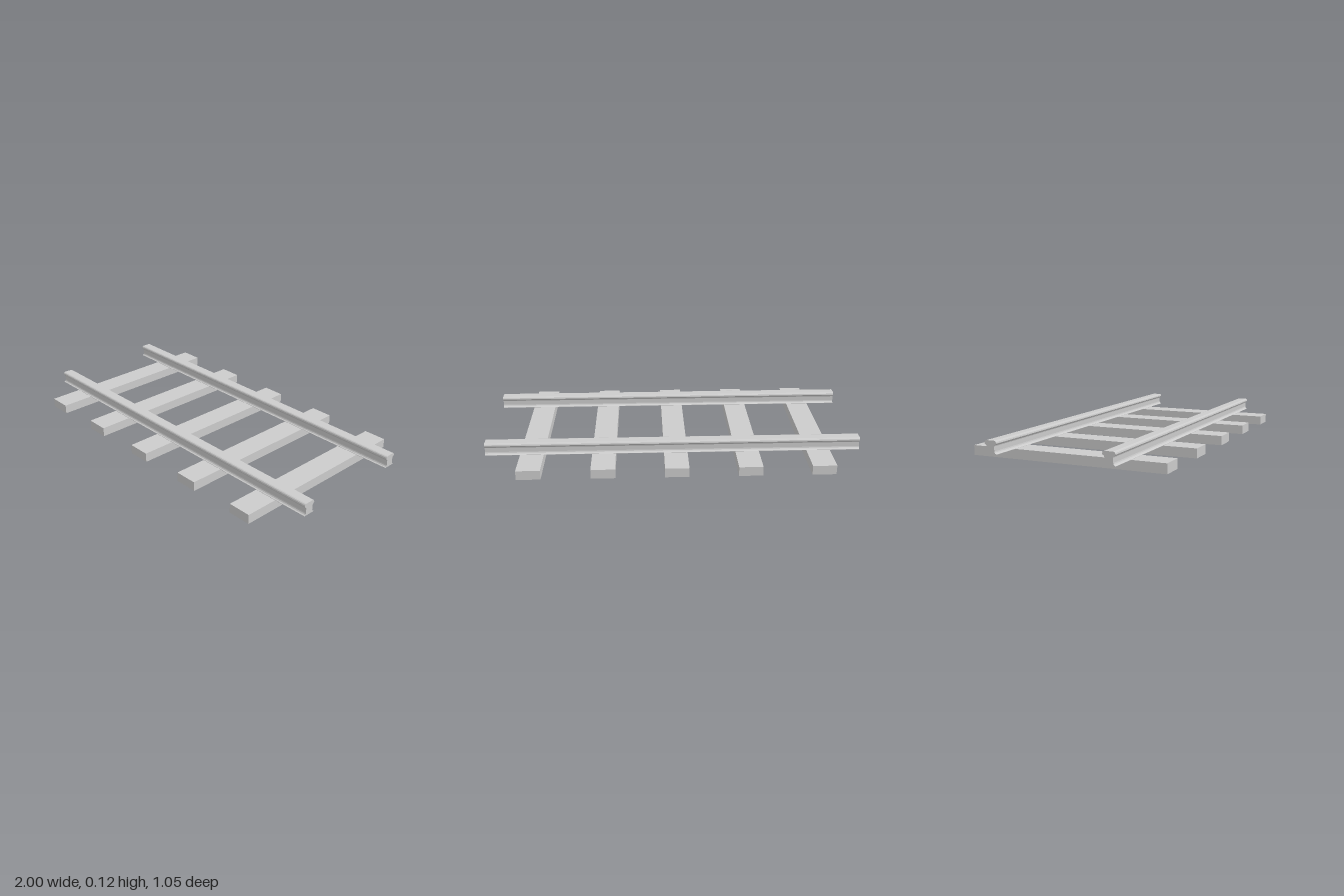
import * as THREE from 'three';

const material = new THREE.MeshStandardMaterial({ color: 0xcccccc, flatShading: true });

// Right half of the rail cross-section: [half width, height], foot to head
const HALF_PROFILE = [
  [0.033, 0.0505], [0.033, 0.052], [0.027, 0.055], [0.0235, 0.06], [0.022, 0.066],
  [0.022, 0.09], [0.024, 0.095], [0.031, 0.1], [0.033, 0.104],
  [0.0315, 0.111], [0.028, 0.1155], [0.022, 0.1175],
];

function railGeometry(length) {
  const right = HALF_PROFILE.map(([w, y]) => new THREE.Vector2(w, y));
  const left = HALF_PROFILE.map(([w, y]) => new THREE.Vector2(-w, y)).reverse();
  const geometry = new THREE.ExtrudeGeometry(new THREE.Shape([...right, ...left]), {
    depth: length, bevelEnabled: false,
  });
  // Run the rail along x, centred
  return geometry.translate(0, 0, -length / 2).rotateY(Math.PI / 2);
}

export function createModel() {
  const model = new THREE.Group();
  model.name = 'railwayTrack';

  // Five sleepers, evenly spaced and slightly offset along the track
  const sleepers = new THREE.Group();
  sleepers.name = 'sleepers';
  const sleeperGeometry = new THREE.BoxGeometry(0.126, 0.0505, 1.054);
  for (let i = -2; i <= 2; i++) {
    const sleeper = new THREE.Mesh(sleeperGeometry, material);
    sleeper.name = 'sleeper';
    sleeper.position.set(-0.012 + i * 0.3825, 0.02525, 0);
    sleepers.add(sleeper);
  }
  model.add(sleepers);

  // Two rails on top of the sleepers
  const geometry = railGeometry(2);
  for (const side of [1, -1]) {
    const rail = new THREE.Mesh(geometry, material);
    rail.name = side > 0 ? 'frontRail' : 'backRail';
    rail.position.z = side * 0.314;
    model.add(rail);
  }
  return model;
}
